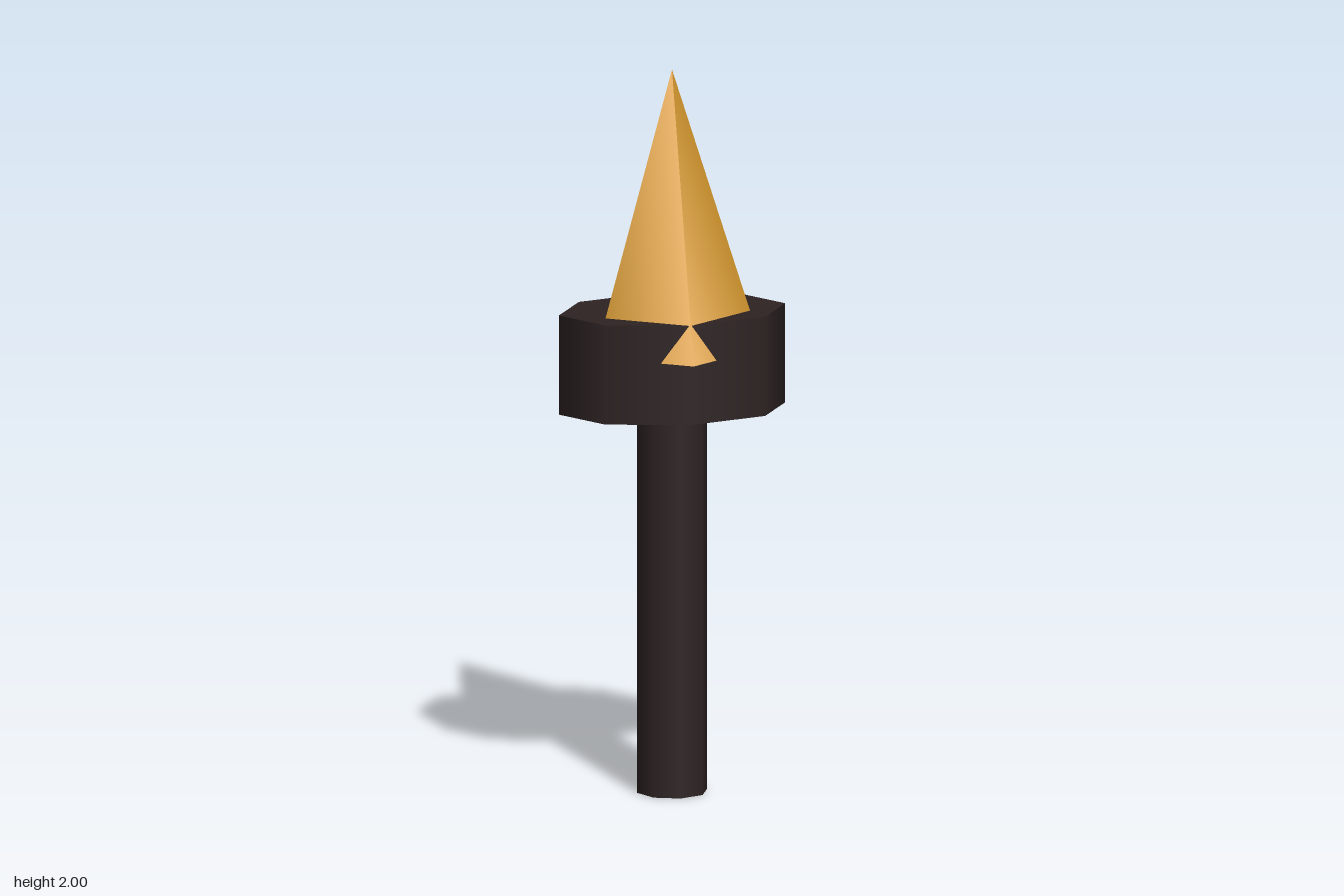
import * as THREE from 'three';

export function createModel() {
  const model = new THREE.Group();
  const dark = new THREE.MeshStandardMaterial({ color: 0x2e2323 });
  dark.name = 'dark brown';
  const gold = new THREE.MeshStandardMaterial({ color: 0xe0a030 });
  gold.name = 'amber gold';

  // All parts share one vertical axis, slightly behind the centre
  const add = (name, geometry, material, bottom, height) => {
    const mesh = new THREE.Mesh(geometry, material);
    mesh.name = name;
    mesh.position.set(0, bottom + height / 2, -0.018);
    model.add(mesh);
    return mesh;
  };

  // Eight-sided shaft
  add('handle', new THREE.CylinderGeometry(0.097, 0.097, 1.06, 8), dark, 0, 1.06);

  // Flattened eight-sided collar
  const collar = new THREE.CylinderGeometry(0.315, 0.315, 0.275, 8);
  collar.scale(1, 1, 0.667);
  add('collar', collar, dark, 1.06, 0.275);

  // Five-sided spike whose lower corners poke through the collar
  add('spike', new THREE.ConeGeometry(0.245, 0.77, 5), gold, 1.23, 0.77);

  return model;
}
